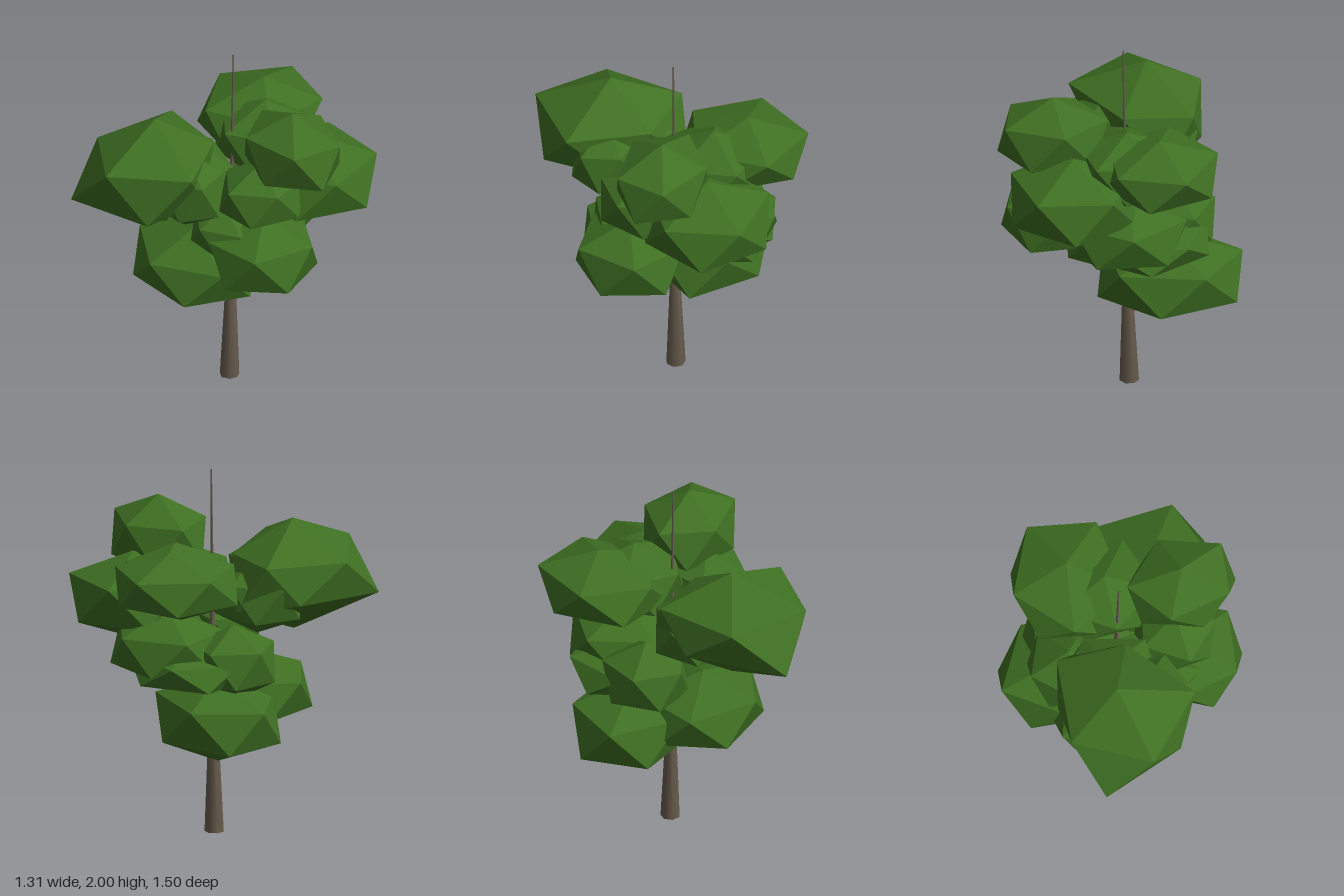
import * as THREE from 'three';
import { ConvexGeometry } from 'three/addons/geometries/ConvexGeometry.js';

const leafMaterial = new THREE.MeshStandardMaterial({ color: 0x3f7023, flatShading: true });
const barkMaterial = new THREE.MeshStandardMaterial({ color: 0x6a5f50 });

// Squashed icosahedron with one corner straight up; lean shifts its top along x and z
function leafClump([x, y, z], [rx, ry, rz], yaw, [leanX, leanZ] = [0, 0]) {
  const g = new THREE.IcosahedronGeometry(1, 0);
  g.rotateZ(-Math.atan(2 / (1 + Math.sqrt(5))));
  g.rotateY(-THREE.MathUtils.degToRad(yaw));
  const p = g.attributes.position;
  for (let i = 0; i < p.count; i++) {
    const h = p.getY(i);
    p.setXYZ(i, x + p.getX(i) * rx + h * leanX, y + h * ry, z + p.getZ(i) * rz + h * leanZ);
  }
  g.computeVertexNormals();
  return new THREE.Mesh(g, leafMaterial);
}

// centre, radii, yaw in degrees, lean
const clumps = {
  lowerLeafClump: [
    [[-0.265, 0.7, -0.2], [0.44, 0.24, 0.35], 27],
    [[-0.08, 0.775, 0.12], [0.41, 0.21, 0.345], 18],
  ],
  middleLeafClump: [
    [[0.35, 0.98, 0], [0.31, 0.23, 0.335], 46],
    [[0.16, 1.07, 0.1], [0.23, 0.15, 0.2], 20],
    [[-0.29, 1.0, -0.12], [0.25, 0.21, 0.26], 27],
    [[-0.13, 0.97, -0.3], [0.39, 0.14, 0.35], 15],
    [[-0.03, 1.06, -0.37], [0.36, 0.21, 0.335], 50],
  ],
  upperLeafClump: [
    [[0.26, 1.285, -0.41], [0.385, 0.24, 0.38], 18],
    [[0.28, 1.3, -0.05], [0.24, 0.2, 0.27], 15],
    [[0.03, 1.34, 0.27], [0.25, 0.23, 0.2], 20],
    [[-0.14, 1.3, 0.12], [0.32, 0.21, 0.25], 40],
    [[-0.03, 1.42, -0.32], [0.31, 0.21, 0.3], 20],
  ],
  topLeafClump: [
    [[0.36, 1.55, -0.19], [0.33, 0.23, 0.27], 43],
    [[-0.2, 1.45, -0.42], [0.35, 0.195, 0.38], 30, [0, -0.03]],
  ],
};

// Corners of the large uneven clump at the front: tip, upper ring, lower ring, underside
const frontClumpCorners = [
  [-0.16, 1.7, 0.33],
  [-0.08, 1.53, 0.73], [0.25, 1.53, 0.41], [-0.02, 1.51, 0.04], [-0.4, 1.52, 0.02], [-0.46, 1.5, 0.48],
  [-0.35, 1.27, 0.75], [0.11, 1.26, 0.6], [0.09, 1.25, 0.2], [-0.25, 1.26, -0.08], [-0.45, 1.3, 0.2],
  [-0.17, 1.09, 0.33],
];

export function createModel() {
  const tree = new THREE.Group();
  tree.name = 'tree';

  // Tapering trunk, leaning slightly to the side
  const profile = [[0, 0], [0.053, 0], [0.028, 0.57], [0.016, 1.1], [0.007, 1.6], [0.004, 2], [0, 2]];
  const trunkGeometry = new THREE.LatheGeometry(profile.map(([r, y]) => new THREE.Vector2(r, y)), 7);
  const p = trunkGeometry.attributes.position;
  for (let i = 0; i < p.count; i++) {
    p.setX(i, p.getX(i) - 0.052 + 0.016 * p.getY(i));
  }
  const trunk = new THREE.Mesh(trunkGeometry, barkMaterial);
  trunk.name = 'trunk';
  trunk.position.z = -0.093;
  tree.add(trunk);

  // Leaf clumps, tier by tier
  for (const [name, list] of Object.entries(clumps)) {
    for (const spec of list) {
      const clump = leafClump(...spec);
      clump.name = name;
      tree.add(clump);
    }
  }

  // Large front clump
  const corners = frontClumpCorners.map((c) => new THREE.Vector3(...c));
  const frontClump = new THREE.Mesh(new ConvexGeometry(corners), leafMaterial);
  frontClump.name = 'frontLeafClump';
  tree.add(frontClump);
  return tree;
}
